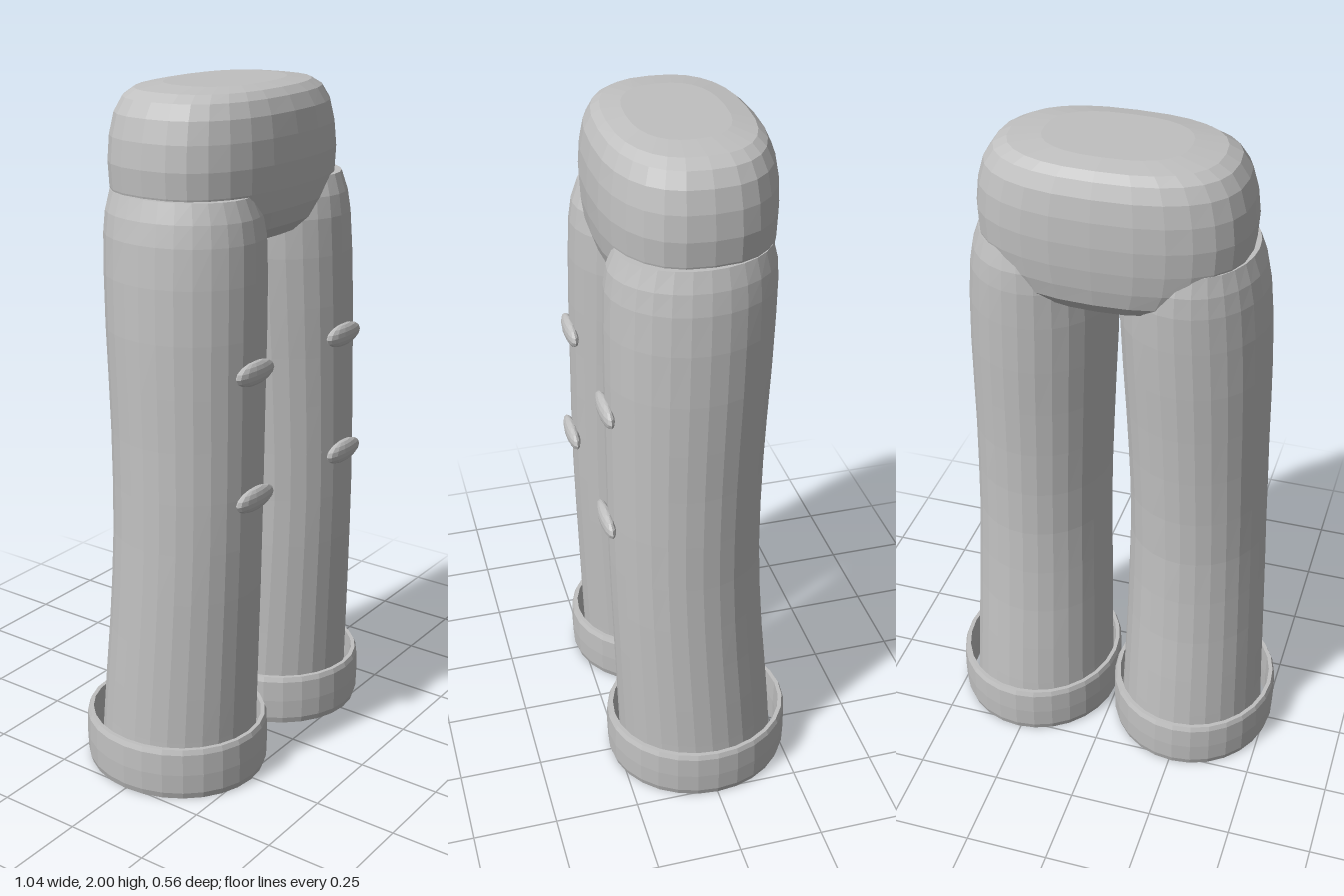
import * as THREE from 'three';

const SIDES = 28;

// Signed power, for rounded-box (superellipse) cross-sections
const spow = (v, p) => Math.sign(v) * Math.abs(v) ** p;

// Loft through rings [y, xMin, xMax, zMin, zMax]; optional fans close the ends
function loft(rings, { exponent = 2, capStart = false, capEnd = false } = {}) {
  const pos = [], idx = [];
  for (const [y, x0, x1, z0, z1] of rings) {
    for (let i = 0; i < SIDES; i++) {
      const a = (i / SIDES) * Math.PI * 2;
      pos.push(
        (x0 + x1) / 2 + ((x1 - x0) / 2) * spow(Math.cos(a), 2 / exponent), y,
        (z0 + z1) / 2 + ((z1 - z0) / 2) * spow(Math.sin(a), 2 / exponent));
    }
  }
  for (let j = 0; j < rings.length - 1; j++) {
    for (let i = 0; i < SIDES; i++) {
      const k = (i + 1) % SIDES;
      const a = j * SIDES + i, b = j * SIDES + k;
      idx.push(a, a + SIDES, b, b, a + SIDES, b + SIDES);
    }
  }
  const cap = (j, up) => {
    const [y, x0, x1, z0, z1] = rings[j];
    const c = pos.length / 3;
    pos.push((x0 + x1) / 2, y, (z0 + z1) / 2);
    for (let i = 0; i < SIDES; i++) {
      const a = j * SIDES + i, b = j * SIDES + (i + 1) % SIDES;
      if (up) idx.push(c, b, a); else idx.push(c, a, b);
    }
  };
  if (capStart) cap(0, false);
  if (capEnd) cap(rings.length - 1, true);
  const g = new THREE.BufferGeometry();
  g.setAttribute('position', new THREE.Float32BufferAttribute(pos, 3));
  g.setIndex(idx);
  g.computeVertexNormals();
  return g;
}

export function createModel() {
  const model = new THREE.Group();
  model.name = 'trousers';
  const cloth = new THREE.MeshStandardMaterial({ color: 0xc0c0c0, flatShading: true, side: THREE.DoubleSide });
  cloth.name = 'grey cloth';

  const add = (name, geometry, parent) => {
    const mesh = new THREE.Mesh(geometry, cloth);
    mesh.name = name;
    parent.add(mesh);
    return mesh;
  };

  // Hips: rounded oval block with a softly tucked underside
  add('hips', loft([
    [1.57, -0.17, 0.17, -0.15, 0.14],
    [1.585, -0.25, 0.25, -0.205, 0.18],
    [1.62, -0.32, 0.32, -0.232, 0.212],
    [1.67, -0.36, 0.36, -0.243, 0.23],
    [1.73, -0.376, 0.376, -0.25, 0.238],
    [1.80, -0.38, 0.38, -0.253, 0.241],
    [1.87, -0.372, 0.372, -0.25, 0.236],
    [1.93, -0.355, 0.355, -0.24, 0.225],
    [1.97, -0.328, 0.328, -0.222, 0.205],
    [1.99, -0.29, 0.29, -0.2, 0.182],
    [2.0, -0.2, 0.2, -0.14, 0.13],
  ], { exponent: 2.5, capStart: true, capEnd: true }), model);

  // Leg cross-sections, bent at the knee and flaring to the hem
  const legRings = [
    [0.02, 0.025, 0.48, -0.238, 0.238],
    [0.16, 0.03, 0.473, -0.228, 0.242],
    [0.30, 0.033, 0.468, -0.216, 0.246],
    [0.45, 0.036, 0.462, -0.202, 0.25],
    [0.60, 0.038, 0.456, -0.192, 0.254],
    [0.75, 0.04, 0.45, -0.186, 0.257],
    [0.90, 0.037, 0.446, -0.187, 0.258],
    [1.05, 0.031, 0.442, -0.192, 0.257],
    [1.20, 0.024, 0.44, -0.2, 0.256],
    [1.35, 0.016, 0.437, -0.21, 0.255],
    [1.50, 0.01, 0.43, -0.218, 0.252],
    [1.61, 0.012, 0.42, -0.222, 0.247],
    [1.67, 0.025, 0.408, -0.219, 0.238],
    [1.725, 0.055, 0.388, -0.205, 0.218],
  ];
  // Cuff: open band with a thin rim, outside first and then the inside
  const cuffRings = [[0, 0.02], [0, 0.008], [0.02, 0.002], [0.08, 0], [0.145, 0.002],
    [0.16, 0.008], [0.16, 0.02], [0.08, 0.022], [0, 0.02]]
    .map(([y, inset]) => [y, inset, 0.52 - inset, inset - 0.28, 0.28 - inset]);

  for (const side of [1, -1]) {
    const leg = new THREE.Group();
    leg.name = side > 0 ? 'leftLeg' : 'rightLeg';
    model.add(leg);
    // Swap and negate the x limits to mirror without flipping faces
    const mirror = rings => rings.map(([y, x0, x1, z0, z1]) =>
      side > 0 ? [y, x0, x1, z0, z1] : [y, -x1, -x0, z0, z1]);
    add('legTube', loft(mirror(legRings), { capEnd: true }), leg);
    add('cuff', loft(mirror(cuffRings)), leg);
    // Two small raised folds above and below the knee
    for (const [x, y, z] of [[0.228, 1.255, 0.257], [0.234, 0.89, 0.263]]) {
      const fold = add('kneeFold', new THREE.SphereGeometry(1, 14, 8), leg);
      fold.scale.set(0.088, 0.034, 0.02);
      fold.position.set(side * x, y, z);
    }
  }
  return model;
}
